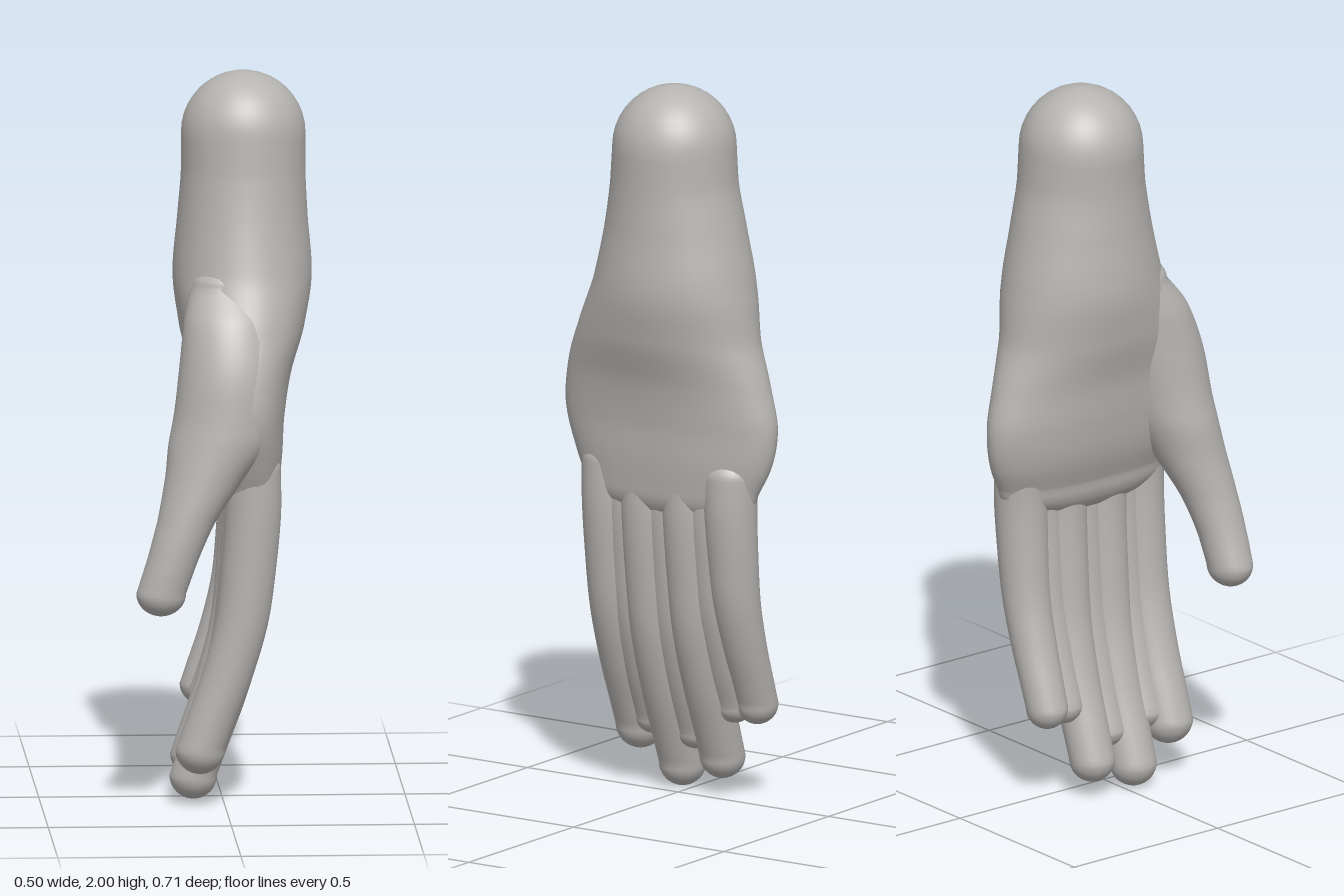
import * as THREE from 'three';

const skin = new THREE.MeshStandardMaterial({ color: 0xb6b4b1 });
skin.name = 'plain grey';

// Smooth loft through horizontal ovals [x, y, z, rx, rz, e] listed from top to bottom,
// closed by domes; e below 1 squares off the +z half of an oval
function loft(name, sections, topDome, bottomDome, sides = 40, steps = 48) {
  const centres = new THREE.CatmullRomCurve3(sections.map(s => new THREE.Vector3(s[0], s[1], s[2])));
  const radii = new THREE.CatmullRomCurve3(sections.map(s => new THREE.Vector3(s[3], s[5] ?? 1, s[4])));
  const rows = [];
  const dome = ([x, y, z, rx, rz, e = 1], height, t) => {
    const k = Math.cos(t * Math.PI / 2);
    rows.push([x, y + height * Math.sin(t * Math.PI / 2), z, rx * k, rz * k, e]);
  };
  const caps = 10;
  for (let i = caps; i > 0; i--) dome(sections[0], topDome, i / caps);
  for (let i = 0; i <= steps; i++) {
    const c = centres.getPoint(i / steps), r = radii.getPoint(i / steps);
    rows.push([c.x, c.y, c.z, r.x, r.z, r.y]);
  }
  for (let i = 1; i <= caps; i++) dome(sections[sections.length - 1], -bottomDome, i / caps);

  const positions = [], index = [];
  rows.forEach(([x, y, z, rx, rz, e], j) => {
    for (let i = 0; i < sides; i++) {
      const a = i / sides * Math.PI * 2;
      const power = Math.sin(a) > 0 ? e : 1;
      const bend = v => Math.sign(v) * Math.pow(Math.abs(v), power);
      positions.push(x + rx * bend(Math.cos(a)), y, z + rz * bend(Math.sin(a)));
      if (j === rows.length - 1) continue;
      const p = j * sides + i, q = j * sides + (i + 1) % sides;
      index.push(p, q, p + sides, q, q + sides, p + sides);
    }
  });
  const geometry = new THREE.BufferGeometry();
  geometry.setAttribute('position', new THREE.Float32BufferAttribute(positions, 3));
  geometry.setIndex(index);
  geometry.computeVertexNormals();
  const mesh = new THREE.Mesh(geometry, skin);
  mesh.name = name;
  return mesh;
}

// Curl of a finger towards the palm: [share of length, share of sideways travel]
const curl = [[0, 0], [0.15, -0.02], [0.35, 0.06], [0.55, 0.2], [0.75, 0.5], [0.9, 0.8], [1, 1]];
const knuckleY = 0.93, knuckleX = 0.073;

function fingerSections({ z0, z1, tipX, low, r0, r1 }) {
  const drop = low + r1 - knuckleY;
  return curl.map(([t, bend]) => {
    const r = r0 + (r1 - r0) * t;
    return [knuckleX + (tipX - knuckleX) * bend, knuckleY + drop * t, z0 + (z1 - z0) * t, r, r];
  });
}

export function createModel() {
  const hand = new THREE.Group();
  hand.name = 'hand';

  // Rounded wrist stump widening into a flat palm
  hand.add(loft('wristAndPalm', [
    [0.06, 1.83, -0.03, 0.17, 0.17, 1],
    [0.06, 1.73, -0.03, 0.17, 0.178, 1],
    [0.058, 1.6, -0.033, 0.178, 0.203, 1],
    [0.057, 1.45, -0.03, 0.19, 0.237, 1],
    [0.054, 1.3, -0.01, 0.17, 0.28, 0.95],
    [0.05, 1.18, -0.01, 0.137, 0.32, 0.85],
    [0.048, 1.06, -0.02, 0.12, 0.335, 0.75],
    [0.055, 0.96, -0.03, 0.108, 0.31, 0.7],
    [0.066, 0.88, -0.03, 0.09, 0.275, 0.7],
  ], 0.17, 0.1, 56, 64));

  // Thumb with its broad base merging into the palm
  hand.add(loft('thumb', [
    [0.01, 1.43, 0.11, 0.1, 0.09],
    [0.012, 1.34, 0.155, 0.124, 0.115],
    [0.01, 1.2, 0.19, 0.138, 0.13],
    [-0.01, 1.04, 0.217, 0.142, 0.122],
    [-0.06, 0.92, 0.247, 0.108, 0.1],
    [-0.113, 0.8, 0.277, 0.079, 0.078],
    [-0.15, 0.7, 0.292, 0.07, 0.067],
    [-0.181, 0.61, 0.297, 0.068, 0.061],
  ], 0.06, 0.062));

  // Four fingers
  const fingers = [
    { name: 'indexFinger', z0: 0.173, z1: 0.172, tipX: -0.068, low: 0.09, r0: 0.079, r1: 0.068 },
    { name: 'middleFinger', z0: 0.045, z1: 0.04, tipX: -0.08, low: 0.0, r0: 0.08, r1: 0.065 },
    { name: 'ringFinger', z0: -0.092, z1: -0.097, tipX: -0.073, low: 0.04, r0: 0.08, r1: 0.063 },
    { name: 'littleFinger', z0: -0.225, z1: -0.232, tipX: -0.045, low: 0.215, r0: 0.077, r1: 0.058 },
  ];
  for (const f of fingers) hand.add(loft(f.name, fingerSections(f), 0.06, f.r1, 28, 36));

  // Webs that leave only shallow grooves between neighbouring fingers
  for (let i = 0; i < 3; i++) {
    const a = fingerSections(fingers[i]), b = fingerSections(fingers[i + 1]);
    const web = a.slice(0, -1).map((s, j) => {
      const [x, y, z, r] = s.map((v, k) => (v + b[j][k]) / 2);
      return [x, y, z, r * 0.8, r * 0.9];
    });
    hand.add(loft('fingerWeb', web, 0.05, 0.05, 28, 30));
  }
  return hand;
}
